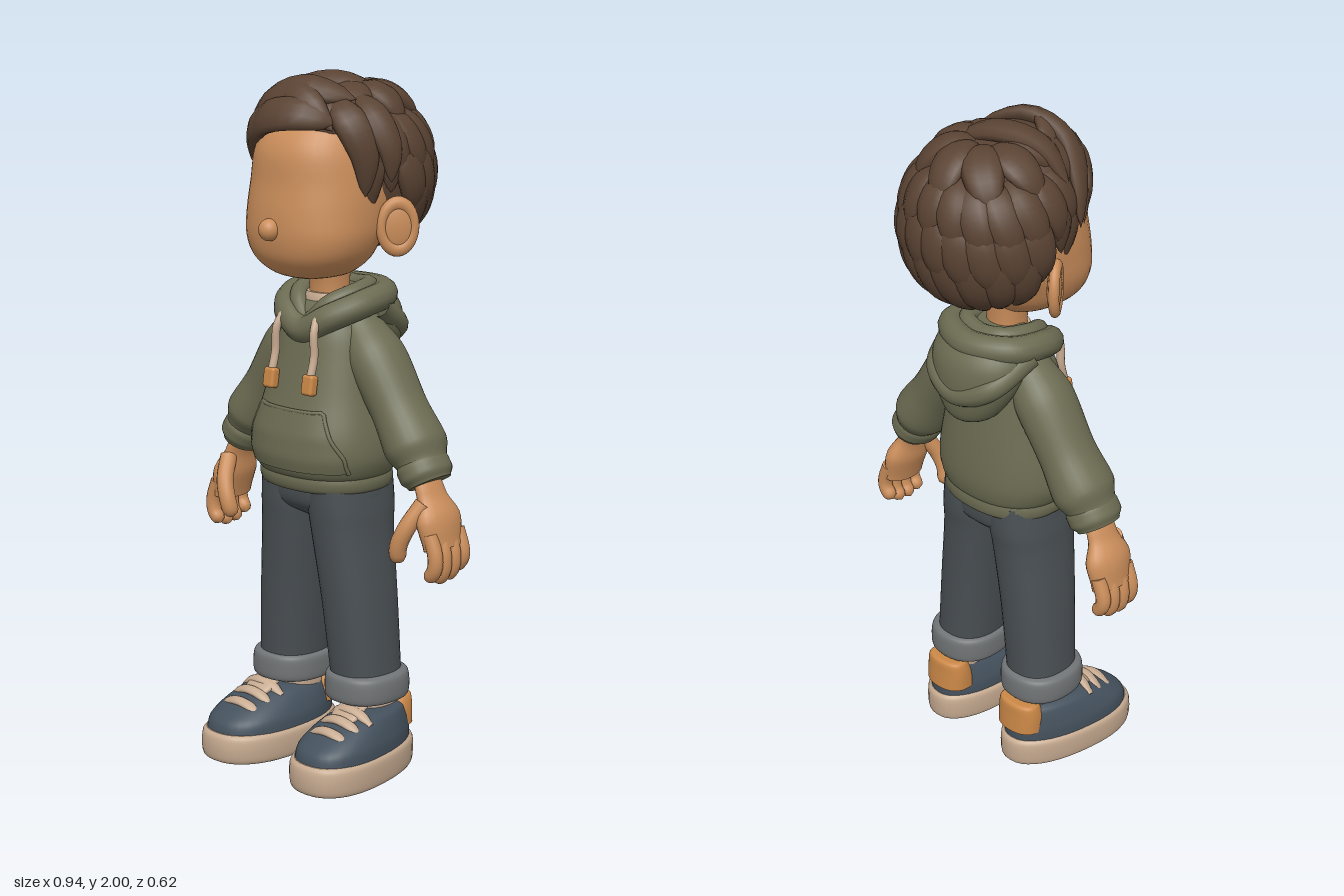
import * as THREE from 'three';
import { RoundedBoxGeometry } from 'three/addons/geometries/RoundedBoxGeometry.js';

const V = (x, y, z) => new THREE.Vector3(x, y, z);
const material = (name, color) => Object.assign(new THREE.MeshStandardMaterial({ color }), { name });

// Closed surface through rings of points, with flat end caps
function skin(rings) {
  const n = rings[0].length, pos = [], idx = [];
  rings.forEach(r => r.forEach(p => pos.push(p.x, p.y, p.z)));
  for (let i = 0; i < rings.length - 1; i++) for (let j = 0; j < n; j++) {
    const a = i * n + j, b = i * n + (j + 1) % n;
    idx.push(a, b, a + n, b, b + n, a + n);
  }
  [rings[0], rings[rings.length - 1]].forEach((r, end) => {
    const base = pos.length / 3, c = V(0, 0, 0);
    r.forEach(p => { pos.push(p.x, p.y, p.z); c.addScaledVector(p, 1 / n); });
    pos.push(c.x, c.y, c.z);
    for (let j = 0; j < n; j++) {
      const a = base + j, b = base + (j + 1) % n;
      idx.push(base + n, end ? a : b, end ? b : a);
    }
  });
  const g = new THREE.BufferGeometry();
  g.setAttribute('position', new THREE.Float32BufferAttribute(pos, 3));
  g.setIndex(idx);
  g.computeVertexNormals();
  return g;
}

// Upright loft: rows are [y, half width, front z, back z, centre x], smoothed between rows
function loft(rows, { e = 2.3, taper = 0, sub = 5, n = 40 } = {}) {
  const rings = [], last = rows.length - 1;
  const mix = (k, i, t) => {
    const [a, b, c, d] = [-1, 0, 1, 2].map(o => rows[Math.min(last, Math.max(0, i + o))][k] || 0);
    return b + 0.5 * t * (c - a + t * (2 * a - 5 * b + 4 * c - d + t * (3 * (b - c) + d - a)));
  };
  for (let s = 0; s <= last * sub; s++) {
    const i = Math.min(last - 1, Math.floor(s / sub)), t = s / sub - i;
    const [y, rx, zf, zb, cx] = [0, 1, 2, 3, 4].map(k => mix(k, i, t));
    rings.push(Array.from({ length: n }, (_, j) => {
      const a = j / n * Math.PI * 2;
      const pw = v => Math.sign(v) * Math.abs(v) ** (2 / e);
      const c = pw(Math.cos(a)), w = -pw(Math.sin(a));
      return V(cx + rx * c * (1 + taper * w) + taper * 0.1 * w * Math.sign(cx), y, (zf + zb) / 2 + w * (zf - zb) / 2);
    }));
  }
  return skin(rings);
}

// Tapered, flattened tube; up(p) gives the direction of its thin axis
function limb(points, radius, flat = 1, up = () => V(1, 0, 0), steps = 16, n = 14) {
  const curve = new THREE.CatmullRomCurve3(points), rings = [];
  for (let i = 0; i <= steps; i++) {
    const t = i / steps, p = curve.getPoint(t), T = curve.getTangent(t);
    const N = up(p).clone().addScaledVector(T, -up(p).dot(T)).normalize();
    const B = N.clone().cross(T), r = radius(t);
    rings.push(Array.from({ length: n }, (_, j) => {
      const a = j / n * Math.PI * 2;
      return p.clone().addScaledVector(B, r * Math.cos(a)).addScaledVector(N, r * flat * Math.sin(a));
    }));
  }
  return skin(rings);
}
const through = list => t => {
  const f = t * (list.length - 1), i = Math.min(list.length - 2, Math.floor(f));
  return THREE.MathUtils.lerp(list[i], list[i + 1], THREE.MathUtils.smoothstep(f - i, 0, 1));
};
const rounded = r => t => r * Math.min(1, Math.sqrt(Math.max(0, 1 - ((t - 0.8) / 0.2) ** 2 * (t > 0.8))));
const path = (pts, r, closed = false) =>
  new THREE.TubeGeometry(new THREE.CatmullRomCurve3(pts, closed), 64, r, 12, closed);
// Mirrors half of a path across x = 0; the first and last points may lie on the centre line
const mirrorPath = half => [...half, ...half.filter(p => p[0] > 0).reverse().map(([x, y, z]) => [-x, y, z])].map(p => V(...p));

export function createModel() {
  const model = new THREE.Group();
  const M = {
    skin: material('skin', 0xcb8e5b), hair: material('brown hair', 0x5a4333), hoodie: material('olive fabric', 0x6c6c53),
    denim: material('charcoal denim', 0x4a5054), cuff: material('grey denim lining', 0x717476),
    shoe: material('navy canvas', 0x44515d), cream: material('cream', 0xc6aa90), tan: material('tan leather', 0xcb8847),
  };
  const add = (name, geo, mat, parent = model) => {
    const m = new THREE.Mesh(geo, mat);
    m.name = name;
    parent.add(m);
    return m;
  };
  const ball = (name, mat, p, s, parent) => {
    const m = add(name, new THREE.SphereGeometry(1, 32, 20), mat, parent);
    m.position.set(...p);
    m.scale.set(...s);
    return m;
  };

  // Head
  add('head', loft([[1.43, 0.04, 0.12, 0], [1.447, 0.105, 0.18, -0.03], [1.49, 0.162, 0.225, -0.07], [1.55, 0.19, 0.242, -0.1],
    [1.62, 0.196, 0.242, -0.15], [1.7, 0.194, 0.232, -0.19], [1.8, 0.178, 0.22, -0.19], [1.88, 0.14, 0.16, -0.15], [1.93, 0.05, 0.05, -0.05]]), M.skin);
  add('neck', loft([[1.3, 0.058, 0.065, -0.05], [1.4, 0.054, 0.065, -0.045], [1.47, 0.06, 0.08, -0.05]]), M.skin);
  ball('nose', M.skin, [0, 1.58, 0.246], [0.03, 0.031, 0.03]);
  for (const s of [1, -1]) {
    const ear = new THREE.Group();
    ear.name = s > 0 ? 'leftEar' : 'rightEar';
    ball('earBowl', M.skin, [0, 0, -0.004], [0.054, 0.072, 0.02], ear);
    const rim = add('earRim', new THREE.TorusGeometry(0.046, 0.015, 12, 32), M.skin, ear);
    rim.scale.set(1, 1.38, 1);
    ear.position.set(s * 0.222, 1.583, -0.03);
    ear.rotation.set(0, s * 0.95, 0);
    model.add(ear);
  }

  // Hair: inner cap, layered locks from the crown, then the swept fringe
  const hair = new THREE.Group();
  hair.name = 'hair';
  model.add(hair);
  ball('hairCap', M.hair, [0, 1.72, -0.08], [0.215, 0.235, 0.2], hair);
  ball('hairFrontCap', M.hair, [0, 1.86, 0.025], [0.18, 0.105, 0.165], hair);
  const centre = V(0, 1.72, -0.06), outward = p => p.clone().sub(centre).normalize();
  const lock = (pts, w) => add('hairLock', limb(pts, t => w * Math.sin(Math.PI * Math.min(1, t) ** 0.8) ** 0.65 || 0.0005, 0.5, outward, 14, 10), M.hair, hair);
  const onHead = (az, th, k) => {
    const a = az * Math.PI / 180, b = th * Math.PI / 180;
    return V(0.228 * k * Math.sin(a) * Math.sin(b), 1.72 + 0.245 * k * Math.cos(b), -0.06 + 0.222 * k * Math.cos(a) * Math.sin(b));
  };
  const layers = [[108, 252, 9, 75, 146, 0.05], [98, 262, 10, 60, 120, 0.052], [62, 298, 13, 38, 93, 0.052], [10, 350, 9, 8, 62, 0.058]];
  layers.forEach(([from, to, n, t0, t1, w], layer) => {
    for (let i = 0; i < n; i++) {
      const az = from + (to - from) * i / (n - 1), wob = Math.sin(i * 5.3 + layer * 2.1);
      const end = t1 + wob * 5, swirl = 14 + wob * 8;
      lock([0, 0.33, 0.66, 1].map(t => onHead(az + (t - 0.7) * swirl, t0 + (end - t0) * t, 0.94 + 0.09 * Math.sin(t * 2.2))), w);
    }
  });
  for (const s of [1, -1]) [[60, 112], [76, 100]].forEach(([az, end]) =>
    lock([0, 0.5, 1].map(t => onHead(s * az, 55 + (end - 55) * t, 1)), 0.042));
  [
    [0.055, [0.14, 1.87, 0.13], [0.06, 1.895, 0.19], [-0.05, 1.88, 0.2], [-0.14, 1.82, 0.16], [-0.2, 1.72, 0.1]],
    [0.06, [0.14, 1.93, 0.05], [0.03, 1.955, 0.13], [-0.09, 1.91, 0.15], [-0.18, 1.83, 0.1], [-0.225, 1.73, 0.06]],
    [0.05, [-0.1, 1.93, 0.06], [-0.02, 1.95, 0.14], [0.07, 1.92, 0.16], [0.14, 1.85, 0.14]],
    [0.06, [0.13, 1.92, -0.08], [0.01, 1.965, -0.02], [-0.11, 1.94, 0.03], [-0.2, 1.85, 0.04]],
    [0.05, [0.08, 1.93, 0.09], [0.16, 1.88, 0.1], [0.2, 1.79, 0.08], [0.195, 1.67, 0.07]],
    [0.045, [0.1, 1.94, 0.02], [0.19, 1.89, 0.03], [0.24, 1.8, 0.02], [0.245, 1.71, 0.02]],
    [0.045, [-0.02, 1.9, 0.17], [-0.09, 1.87, 0.19], [-0.15, 1.81, 0.16], [-0.17, 1.74, 0.14]],
  ].forEach(([w, ...pts]) => lock(pts.map(p => V(...p)), w));

  // Hoodie body, hem and hood
  const body = [[0.87, 0.185, 0.18, -0.135], [0.89, 0.2, 0.197, -0.145], [0.935, 0.213, 0.208, -0.152], [1, 0.208, 0.203, -0.15], [1.1, 0.185, 0.172, -0.14],
    [1.2, 0.165, 0.145, -0.128], [1.28, 0.145, 0.125, -0.12], [1.34, 0.11, 0.1, -0.11], [1.37, 0.07, 0.07, -0.07]];
  add('hoodieBody', loft(body), M.hoodie);
  add('hoodieHem', loft([[0.832, 0.175, 0.165, -0.125], [0.84, 0.19, 0.183, -0.14], [0.865, 0.195, 0.19, -0.143], [0.89, 0.188, 0.185, -0.138]]), M.hoodie);
  add('hoodPouch', loft([[1.14, 0.03, -0.1, -0.17], [1.17, 0.085, -0.06, -0.2], [1.25, 0.135, -0.01, -0.212], [1.33, 0.152, 0.03, -0.205], [1.385, 0.13, 0.04, -0.165], [1.4, 0.09, 0.02, -0.12]], { e: 2 }), M.hoodie);
  add('hoodOuterFold', path(mirrorPath([[0, 1.285, 0.112], [0.08, 1.325, 0.095], [0.132, 1.36, 0.02], [0.115, 1.375, -0.09], [0, 1.375, -0.145]]), 0.04, true), M.hoodie);
  add('hoodInnerFold', path(mirrorPath([[0, 1.305, 0.095], [0.062, 1.36, 0.07], [0.095, 1.388, 0], [0.07, 1.395, -0.075], [0, 1.39, -0.095]]), 0.028, true), M.hoodie);
  add('hoodBackFold', path([[0.14, 1.35, -0.04], [0.1, 1.275, -0.16], [0, 1.235, -0.187], [-0.1, 1.275, -0.16], [-0.14, 1.35, -0.04]].map(p => V(...p)), 0.034), M.hoodie);
  add('shirtCollar', loft([[1.28, 0.08, 0.085, -0.06], [1.36, 0.066, 0.08, -0.055], [1.385, 0.06, 0.073, -0.05]]), M.cream);

  // Front pocket laid over the body surface
  const frontZ = (x, y) => {
    const i = Math.max(1, body.findIndex(r => r[0] >= y)), a = body[i - 1], b = body[i], t = (y - a[0]) / (b[0] - a[0]);
    const [rx, zf, zb] = [1, 2, 3].map(k => a[k] + (b[k] - a[k]) * t);
    return (zf + zb) / 2 + (zf - zb) / 2 * Math.max(0, 1 - Math.abs(x / rx) ** 2.3) ** (1 / 2.3);
  };
  const pocketPoint = (u, v, lift) => {
    const x = u * (v < 0.3 ? 0.182 : 0.182 - 0.062 * ((v - 0.3) / 0.7) ** 0.8), y = 0.9 + 0.168 * v;
    return V(x, y, frontZ(x, y) + lift);
  };
  const pocket = new THREE.PlaneGeometry(1, 1, 24, 12), pp = pocket.attributes.position;
  for (let i = 0; i < pp.count; i++) {
    const p = pocketPoint(pp.getX(i) * 2, pp.getY(i) + 0.5, 0.009);
    pp.setXYZ(i, p.x, p.y, p.z);
  }
  pocket.computeVertexNormals();
  add('pocket', pocket, M.hoodie);
  const edge = [];
  for (let i = 0; i <= 8; i++) edge.push(pocketPoint(-1, i / 8, 0.004));
  for (let i = 1; i < 8; i++) edge.push(pocketPoint(-1 + i / 4, 1, 0.004));
  for (let i = 8; i >= 0; i--) edge.push(pocketPoint(1, i / 8, 0.004));
  add('pocketEdge', path(edge, 0.006), M.hoodie);

  // Hips
  add('hips', loft([[0.745, 0.05, 0.09, -0.07], [0.775, 0.17, 0.14, -0.11], [0.81, 0.187, 0.158, -0.12], [0.87, 0.18, 0.16, -0.12]]), M.denim);

  for (const s of [1, -1]) {
    const side = new THREE.Group();
    side.name = s > 0 ? 'leftSide' : 'rightSide';
    model.add(side);
    const put = (name, geo, mat) => add(name, geo, mat, side);
    const P = pts => pts.map(([x, y, z]) => V(s * x, y, z));

    // Drawstring
    put('drawstring', path(P([[0.065, 1.33, 0.125], [0.073, 1.29, 0.147], [0.076, 1.22, 0.15], [0.076, 1.16, 0.166]]), 0.012), M.cream);
    const tip = put('drawstringTip', new RoundedBoxGeometry(0.042, 0.058, 0.03, 3, 0.009), M.tan);
    tip.position.set(s * 0.076, 1.145, 0.168);
    tip.rotation.x = -0.15;

    // Sleeve and its cuff
    const z1 = () => V(0, 0, 1);
    put('sleeve', limb(P([[0.09, 1.3, -0.01], [0.17, 1.2, -0.01], [0.25, 1.08, -0.01], [0.315, 0.985, -0.008], [0.35, 0.932, -0.005]]),
      through([0.06, 0.08, 0.076, 0.084, 0.066]), 1.14, z1, 28, 28), M.hoodie);
    put('sleeveCuff', limb(P([[0.328, 0.957, -0.005], [0.345, 0.932, -0.005], [0.36, 0.91, -0.005], [0.373, 0.888, -0.005]]),
      through([0.06, 0.071, 0.071, 0.058]), 1.15, z1, 14, 28), M.hoodie);

    // Hand
    const out = () => V(s, 0, 0);
    put('palm', limb(P([[0.355, 0.92, 0], [0.382, 0.86, 0], [0.408, 0.79, -0.002], [0.425, 0.715, -0.004]]),
      through([0.045, 0.052, 0.08, 0.07]), 0.52, out, 16, 24), M.skin);
    [[0.052, 0.01], [0.016, 0], [-0.022, 0.004], [-0.06, 0.022]].forEach(([z, up]) =>
      put('finger', limb(P([[0.425, 0.76, z], [0.446, 0.7, z], [0.442, 0.65 + up, z], [0.415, 0.62 + up, z * 0.95]]), rounded(0.0215), 1, out), M.skin));
    put('thumb', limb(P([[0.39, 0.84, 0.04], [0.365, 0.775, 0.08], [0.343, 0.72, 0.09], [0.332, 0.668, 0.08]]), rounded(0.025), 1, out), M.skin);

    // Trouser leg with rolled cuff
    put('trouserLeg', loft([[0.25, 0.09, 0.11, -0.095, s * 0.147], [0.5, 0.094, 0.128, -0.1, s * 0.125], [0.7, 0.096, 0.146, -0.11, s * 0.101],
      [0.78, 0.097, 0.155, -0.12, s * 0.094], [0.87, 0.09, 0.16, -0.12, s * 0.09]]), M.denim);
    put('trouserCuff', loft([[0.218, 0.092, 0.105, -0.095, s * 0.148], [0.226, 0.108, 0.127, -0.112, s * 0.148], [0.26, 0.111, 0.13, -0.115, s * 0.148],
      [0.292, 0.107, 0.126, -0.111, s * 0.147], [0.302, 0.09, 0.11, -0.095, s * 0.147]]), M.cuff);

    // Shoe
    const cx = s * 0.17, foot = { taper: 0.14 };
    put('sock', loft([[0.15, 0.06, 0.06, -0.09, s * 0.152], [0.25, 0.06, 0.055, -0.085, s * 0.15]]), M.cream);
    put('sole', loft([[0, 0.108, 0.285, -0.122, cx], [0.01, 0.12, 0.305, -0.138, cx], [0.045, 0.124, 0.31, -0.142, cx],
      [0.078, 0.122, 0.306, -0.14, cx], [0.09, 0.112, 0.295, -0.13, cx]], foot), M.cream);
    put('shoeUpper', loft([[0.08, 0.114, 0.293, -0.128, cx], [0.115, 0.112, 0.282, -0.128, cx], [0.14, 0.104, 0.25, -0.125, cx],
      [0.165, 0.092, 0.2, -0.12, cx], [0.185, 0.078, 0.15, -0.113, cx], [0.195, 0.06, 0.115, -0.1, cx]], foot), M.shoe);
    put('heelTab', loft([[0.12, 0.074, -0.02, -0.137, s * 0.152], [0.17, 0.073, -0.035, -0.133, s * 0.152], [0.205, 0.066, -0.05, -0.13, s * 0.152],
      [0.213, 0.055, -0.06, -0.12, s * 0.152]]), M.tan);
    put('tongue', limb(P([[0.178, 0.165, 0.17], [0.176, 0.195, 0.12], [0.174, 0.215, 0.08]]), through([0.035, 0.05, 0.045]), 0.3, () => V(0, 1, 0.6)), M.cream);
    [[0.207, 0.166], [0.162, 0.189], [0.117, 0.209]].forEach(([z, y]) =>
      put('lace', limb(P([-0.078, -0.045, 0, 0.045, 0.078].map(x => [0.18 + x, y - 5.5 * x * x, z - 0.12 * Math.abs(x)])),
        through([0.01, 0.016, 0.016, 0.016, 0.01]), 0.6, () => V(0, 1, 0.4)), M.cream));
  }
  return model;
}
